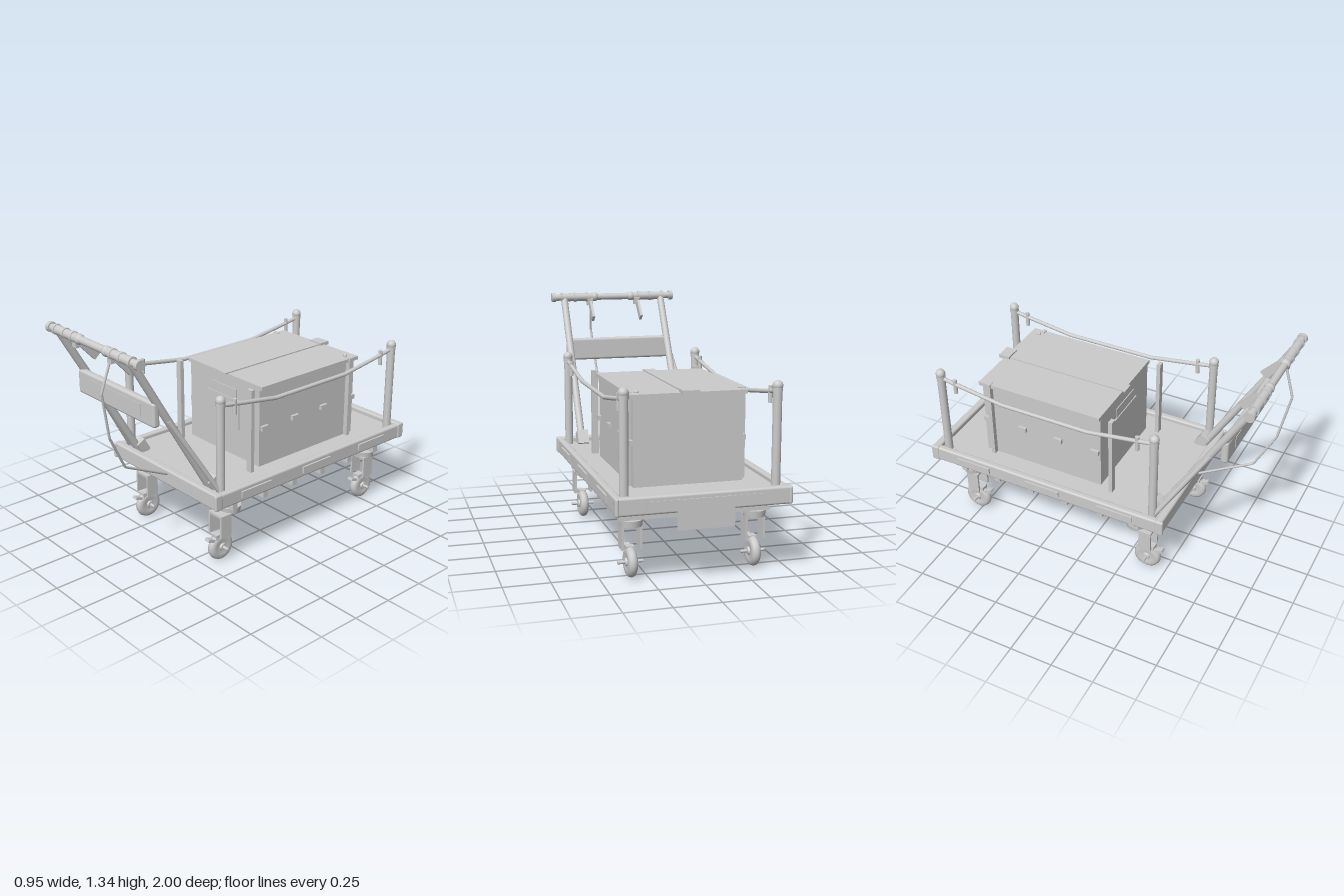
import * as THREE from 'three';
import { RoundedBoxGeometry } from 'three/addons/geometries/RoundedBoxGeometry.js';

const mat = new THREE.MeshStandardMaterial({ color: 0xcccccc });
const thin = new THREE.MeshStandardMaterial({ color: 0xcccccc, side: THREE.DoubleSide });
const V = (x, y, z) => new THREE.Vector3(x, y, z);

function add(parent, name, geo, x = 0, y = 0, z = 0, m = mat) {
  const mesh = new THREE.Mesh(geo, m);
  mesh.name = name;
  mesh.position.set(x, y, z);
  parent.add(mesh);
  return mesh;
}
const box = (p, name, w, h, d, x, y, z) => add(p, name, new THREE.BoxGeometry(w, h, d), x, y, z);
const softBox = (p, name, w, h, d, x, y, z, r = 0.012) =>
  add(p, name, new RoundedBoxGeometry(w, h, d, 3, r), x, y, z);

// Cylinder running from point a to point b
function rod(p, name, a, b, r, r2 = r, sides = 20) {
  const dir = b.clone().sub(a);
  const mesh = add(p, name, new THREE.CylinderGeometry(r2, r, dir.length(), sides));
  mesh.position.copy(a).add(b).multiplyScalar(0.5);
  mesh.quaternion.setFromUnitVectors(V(0, 1, 0), dir.normalize());
  return mesh;
}

// Tube through straight segments
function polyTube(p, name, pts, r) {
  const path = new THREE.CurvePath();
  for (let i = 1; i < pts.length; i++) path.add(new THREE.LineCurve3(pts[i - 1], pts[i]));
  return add(p, name, new THREE.TubeGeometry(path, 80, r, 10, false), 0, 0, 0, thin);
}

function buildDeck(root) {
  const g = new THREE.Group();
  g.name = 'deck';
  root.add(g);
  box(g, 'deckBoard', 0.88, 0.055, 1.46, 0, 0.4275, -0.24);
  softBox(g, 'frontRail', 0.93, 0.095, 0.045, 0, 0.4375, 0.495);
  softBox(g, 'backRail', 0.93, 0.095, 0.045, 0, 0.4375, -0.97);
  for (const s of [-1, 1]) {
    softBox(g, 'sideRail', 0.04, 0.09, 1.46, s * 0.445, 0.435, -0.24);
    for (const z of [0.23, -0.237, -0.70])
      box(g, 'sidePlate', 0.012, 0.038, 0.22, s * 0.469, 0.437, z);
    for (const z of [0.5, -0.97])
      softBox(g, 'cornerCap', 0.022, 0.095, 0.05, s * 0.459, 0.4375, z, 0.01);
  }
  // Cross beams underneath
  for (let i = 0; i < 6; i++)
    box(g, 'crossBeam', 0.82, 0.075, 0.036, 0, 0.3575, 0.335 - i * 0.229);
  // Plates on the back
  box(g, 'backStrip', 0.62, 0.045, 0.006, 0, 0.437, -0.993);
  box(g, 'backTag', 0.305, 0.16, 0.004, 0, 0.38, -0.998);
}

function buildSideFence(root, s) {
  const g = new THREE.Group();
  g.name = 'sideFence';
  root.add(g);
  const x = s * 0.405;
  for (const z of [0.435, -0.91]) {
    rod(g, 'post', V(x, 0.44, z), V(x, 0.985, z), 0.024);
    add(g, 'postKnob', new THREE.SphereGeometry(0.028, 20, 14), x, 0.995, z);
    rod(g, 'postCollar', V(x, 0.965, z), V(x, 0.985, z), 0.027);
  }
  polyTube(g, 'rope', [V(x, 0.967, 0.435), V(x, 0.945, 0.3), V(x, 0.905, 0.035),
    V(x, 0.905, -0.51), V(x, 0.945, -0.78), V(x, 0.967, -0.91)], 0.012);
  for (const z of [0.335, -0.815])
    rod(g, 'ropeClip', V(x, 0.89, z), V(x, 0.98, z), 0.012);
  for (const z of [0.135, -0.645])
    box(g, 'stake', 0.038, 0.5, 0.024, s * 0.31, 0.7, z);
}

function buildChest(root) {
  const g = new THREE.Group();
  g.name = 'chest';
  root.add(g);
  box(g, 'chestBody', 0.6, 0.48, 0.76, 0, 0.69, -0.32);
  box(g, 'chestLid', 0.64, 0.022, 0.775, 0, 0.935, -0.325);
  box(g, 'strap', 0.07, 0.008, 0.82, 0, 0.949, -0.33);
  box(g, 'strapBuckle', 0.092, 0.022, 0.068, 0, 0.95, -0.71);
  add(g, 'lidKnob', new THREE.SphereGeometry(0.012, 12, 8), 0.27, 0.95, -0.655);
  box(g, 'upperNotice', 0.22, 0.14, 0.006, 0, 0.80, 0.062);
  box(g, 'lowerNotice', 0.275, 0.18, 0.008, -0.002, 0.72, 0.066);
  for (const s of [-1, 1])
    for (const z of [0.027, -0.21, -0.443, -0.675])
      box(g, 'latch', 0.024, 0.028, 0.05, s * 0.306, 0.69, z);
}

function buildHandle(root) {
  const g = new THREE.Group();
  g.name = 'pushHandle';
  root.add(g);
  const y = 1.31, z = 0.937;
  rod(g, 'handleBar', V(-0.39, y, z), V(0.39, y, z), 0.021);
  for (const s of [-1, 1]) {
    const bar = (name, a, b, r) => rod(g, name, V(s * a, y, z), V(s * b, y, z), r);
    bar('endCap', 0.38, 0.405, 0.029);
    bar('grip', 0.125, 0.34, 0.026);
    for (const x of [0.335, 0.25, 0.175]) bar('gripRing', x - 0.008, x + 0.008, 0.03);
    add(g, 'gripStop', new THREE.SphereGeometry(0.029, 16, 12), s * 0.122, y, z);

    // Slanted leg, its socket and the outer brace
    const foot = V(s * 0.323, 0.44, 0.43), top = V(s * 0.323, 1.3, 0.932);
    rod(g, 'handleLeg', foot, top, 0.022);
    const socket = box(g, 'legSocket', 0.066, 0.085, 0.06, s * 0.323, 0.486, 0.43);
    socket.rotation.x = Math.atan2(0.502, 0.86);
    rod(g, 'handleBrace', V(s * 0.405, 0.47, 0.445), V(s * 0.335, 0.94, 0.725), 0.014);

    // Brake lever under the grip
    box(g, 'leverClamp', 0.034, 0.045, 0.05, s * 0.157, 1.28, 0.925);
    const lever = box(g, 'brakeLever', 0.016, 0.125, 0.045, s * 0.158, 1.225, 0.855);
    lever.rotation.x = 0.75;
  }
  softBox(g, 'crossPanel', 0.68, 0.138, 0.042, 0, 0.99, 0.80, 0.015);
  box(g, 'crossPanelPlate', 0.465, 0.07, 0.006, 0, 0.994, 0.821);
  polyTube(g, 'brakeCable', [V(0.15, 1.28, 0.935), V(0.138, 1.1, 0.992), V(0.112, 0.83, 0.94),
    V(0.083, 0.62, 0.83), V(0.037, 0.455, 0.505)], 0.007);
}

function buildCaster(root, x, z, plateZ) {
  const g = new THREE.Group();
  g.name = 'caster';
  g.position.set(x, 0, z);
  root.add(g);
  add(g, 'swivelPlate', new THREE.CylinderGeometry(0.063, 0.058, 0.036, 24), 0, 0.302, plateZ - z);
  box(g, 'forkCrown', 0.11, 0.014, 0.075, 0, 0.286, 0);
  for (const s of [-1, 1]) {
    box(g, 'forkLeg', 0.012, 0.132, 0.075, s * 0.049, 0.224, 0);
    rod(g, 'hubCap', V(s * 0.018, 0.083, 0), V(s * 0.03, 0.083, 0), 0.024, 0.018);
  }
  // Rounded tyre with a dished hub
  const profile = [[0, -0.02], [0.035, -0.02], [0.045, -0.025], [0.065, -0.024], [0.077, -0.015],
    [0.082, 0], [0.077, 0.015], [0.065, 0.024], [0.045, 0.025], [0.035, 0.02], [0, 0.02]];
  const wheel = add(g, 'wheel',
    new THREE.LatheGeometry(profile.map(p => new THREE.Vector2(...p)), 32), 0, 0.083, 0);
  wheel.rotation.z = Math.PI / 2;
  rod(g, 'axle', V(-0.068, 0.083, 0), V(0.068, 0.083, 0), 0.009, 0.009, 12);
  box(g, 'brakePad', 0.044, 0.03, 0.05, 0, 0.151, 0.02);
  const pedal = box(g, 'brakePedal', 0.036, 0.016, 0.06, 0, 0.14, 0.068);
  pedal.rotation.x = -0.35;
}

export function createModel() {
  const root = new THREE.Group();
  root.name = 'platformCart';
  buildDeck(root);
  buildChest(root);
  buildHandle(root);
  for (const s of [-1, 1]) {
    buildSideFence(root, s);
    buildCaster(root, s * 0.337, 0.383, 0.31);
    buildCaster(root, s * 0.337, -0.773, -0.79);
  }
  return root;
}
